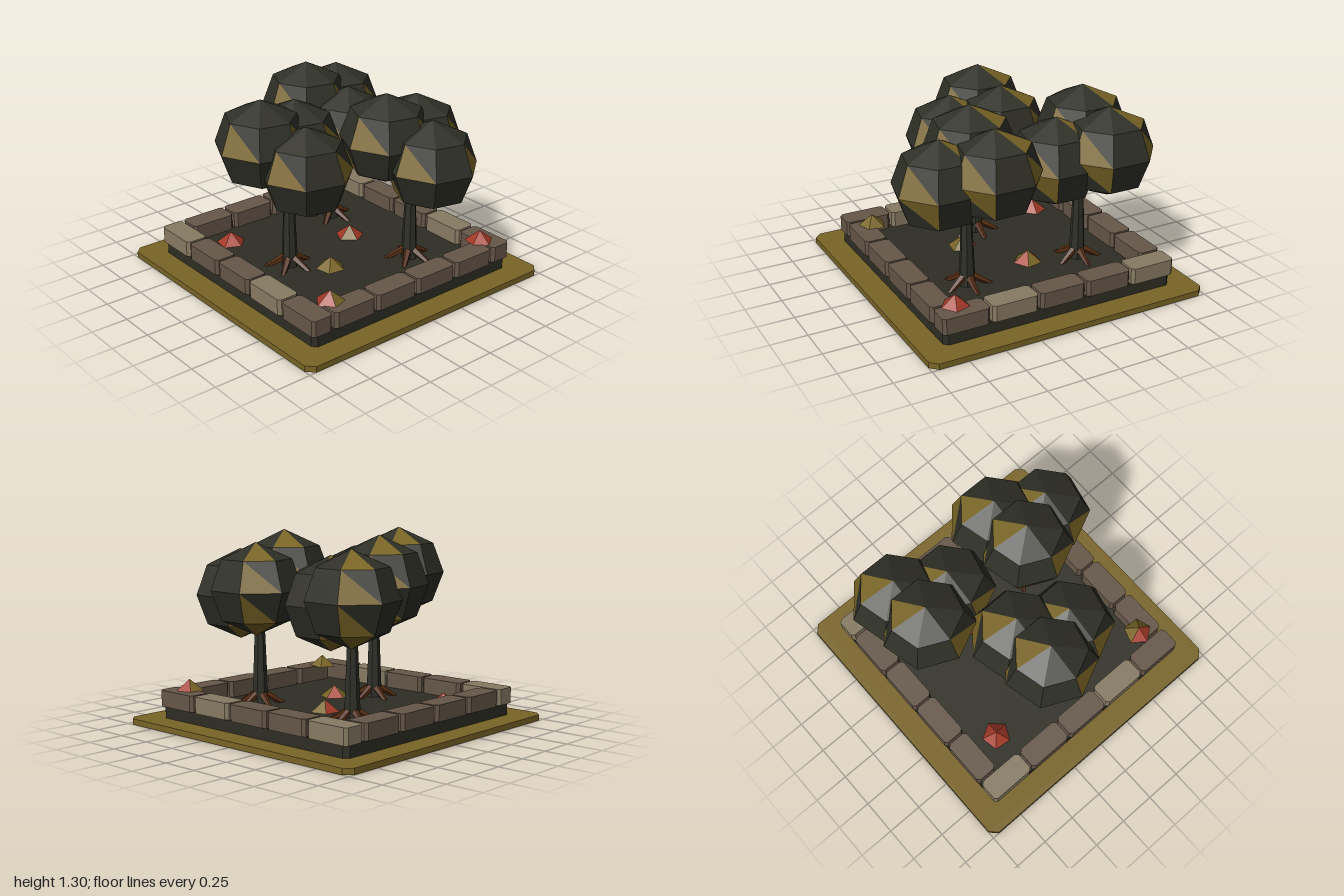
import * as THREE from 'three';

const mat = (name, color) => {
  const m = new THREE.MeshStandardMaterial({ color });
  m.name = name;
  return m;
};

export function createModel() {
  const gold = mat('gold', 0x7a6526);
  const leaf = mat('dark leaf', 0x2f3027);
  const soil = mat('soil', 0x2e2e25);
  const paleStone = mat('pale stone', 0x877b63);
  const stone = mat('stone', 0x665749);
  const red = mat('red', 0xa43928);
  const bark = mat('root brown', 0x552c12);

  const model = new THREE.Group();
  const add = (parent, name, geo, material, x = 0, y = 0, z = 0) => {
    const mesh = new THREE.Mesh(geo, material);
    mesh.name = name;
    mesh.position.set(x, y, z);
    parent.add(mesh);
    return mesh;
  };

  // Flat slab with four clipped vertical corners, standing on y = 0
  const slab = (w, d, h, c) => {
    const a = w / 2, b = d / 2;
    const pts = [[a - c, -b], [a, c - b], [a, b - c], [a - c, b], [c - a, b], [-a, b - c], [-a, c - b], [c - a, -b]];
    const shape = new THREE.Shape(pts.map(p => new THREE.Vector2(...p)));
    return new THREE.ExtrudeGeometry(shape, { depth: h, bevelEnabled: false }).rotateX(-Math.PI / 2);
  };

  // Faceted geometry whose listed faces use the second material
  const facet = (geo, picked) => {
    const g = geo.index ? geo.toNonIndexed() : geo;
    g.computeVertexNormals();
    g.clearGroups();
    for (let i = 0; i < g.attributes.position.count / 3; i++) g.addGroup(i * 3, 3, picked.includes(i) ? 1 : 0);
    return g;
  };

  // Ground plate and planting bed
  add(model, 'groundPlate', slab(2, 2, 0.04, 0.05), gold);
  add(model, 'soilBed', slab(1.67, 1.67, 0.08, 0.03), soil, 0, 0.04, 0);

  // Stone border: rows of five front and back, columns of four on the sides
  const rowStone = slab(0.325, 0.155, 0.11, 0.02);
  const sideStone = slab(0.155, 0.325, 0.11, 0.02);
  for (const s of [-1, 1]) {
    for (let i = 0; i < 5; i++)
      add(model, 'borderStone', rowStone, i % 3 ? stone : paleStone, (i - 2) * 0.342, 0.12, s * 0.772);
    for (let i = 0; i < 4; i++)
      add(model, 'borderStone', sideStone, stone, s * 0.772, 0.12, (i - 1.5) * 0.342);
  }

  // Faceted crown with seven sides and rings widened towards the poles
  const ball = new THREE.SphereGeometry(1, 7, 4).rotateY(Math.PI / 2);
  const p = ball.attributes.position;
  for (let i = 0; i < p.count; i++) {
    const y = p.getY(i);
    if (Math.abs(y) > 0.1 && Math.abs(y) < 0.9)
      p.setXYZ(i, p.getX(i) * 1.075, y * 0.92, p.getZ(i) * 1.075);
  }
  ball.scale(0.318, 0.31, 0.308);
  const crown = facet(ball, [4, 8, 12, 16, 25, 30, 34, 36, 39]);
  const trunk = facet(new THREE.CylinderGeometry(0.03, 0.056, 0.66, 7), []);
  const root = facet(new THREE.CylinderGeometry(0.014, 0.03, 0.19, 5), []);

  const addTree = (x, z) => {
    const tree = new THREE.Group();
    tree.name = 'tree';
    tree.position.set(x, 0, z);
    model.add(tree);
    add(tree, 'trunk', trunk, leaf, 0, 0.45, 0);
    for (let i = 0; i < 5; i++) {
      const turn = new THREE.Group();
      turn.name = 'root';
      turn.rotation.y = i * Math.PI * 0.4 + 0.3;
      tree.add(turn);
      add(turn, 'rootBranch', root, bark, 0.085, 0.155, 0).rotation.z = -2.1;
    }
    add(tree, 'crownHigh', crown, [leaf, gold], -0.1, 0.995, 0.14);
    add(tree, 'crownBack', crown, [leaf, gold], -0.125, 0.925, -0.15);
    add(tree, 'crownLow', crown, [leaf, gold], 0.185, 0.86, 0);
  };
  addTree(-0.42, -0.32);
  addTree(0.42, -0.32);
  addTree(0, 0.38);

  // Small five-sided flower mounds: x, base height, z, turn, gold faces
  const flowers = [
    [0.7, 0.225, -0.71, 0.3, [3]],
    [0.7, 0.225, 0.6, 0, [1, 2, 3]],
    [-0.53, 0.12, 0.49, 0.5, []],
    [-0.09, 0.12, -0.22, 0.2, [0, 2]],
    [0.2, 0.12, 0.19, 0.8, [0, 1, 3, 4]],
  ];
  for (const [x, y, z, turn, picked] of flowers) {
    const geo = facet(new THREE.ConeGeometry(0.1, 0.08, 5), picked);
    add(model, 'flower', geo, [red, gold], x, y + 0.04, z).rotation.y = turn;
  }
  return model;
}
